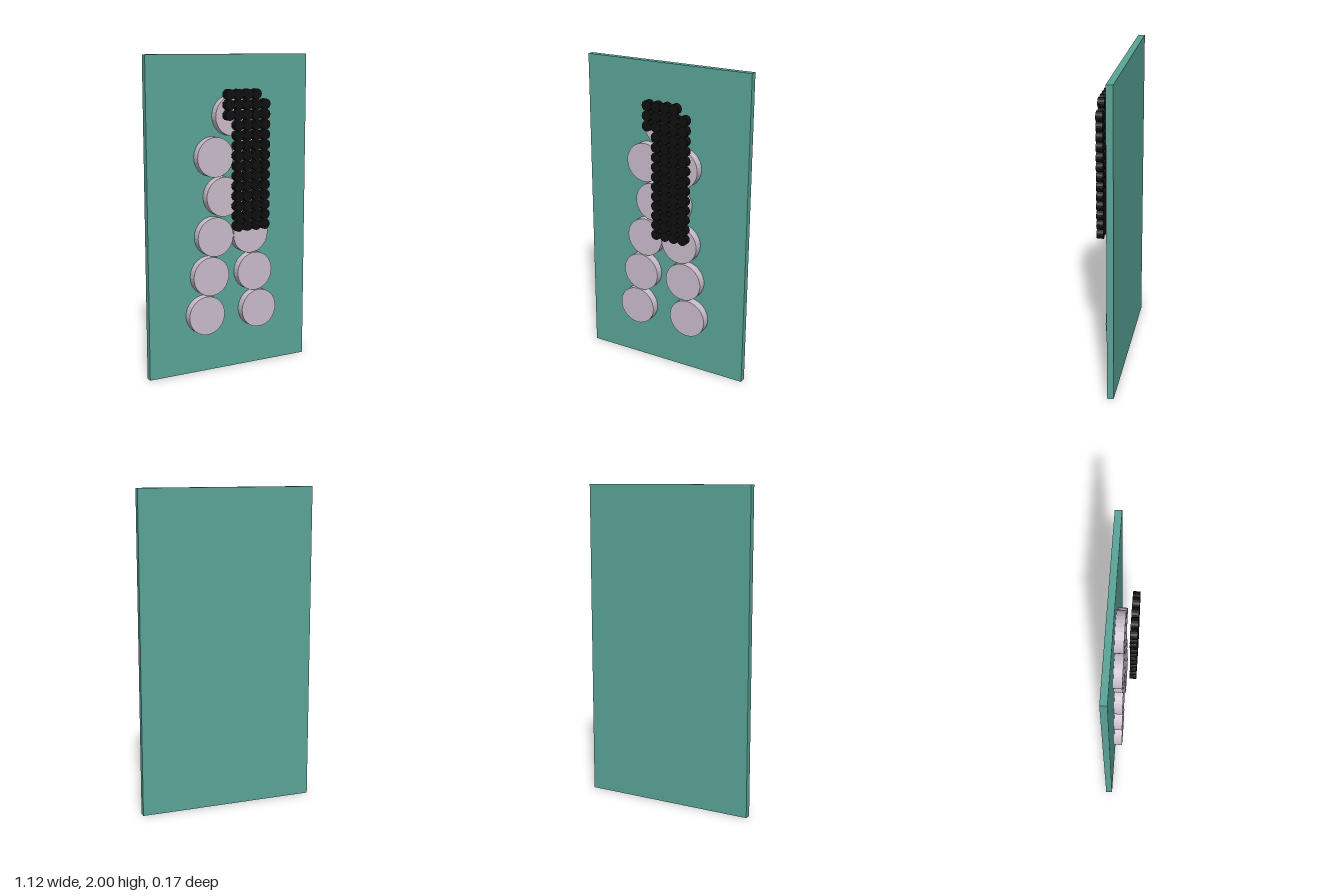
import * as THREE from 'three';

const boardGreen = new THREE.MeshStandardMaterial({ name: 'boardGreen', color: 0x5aa497 });
const paleLilac = new THREE.MeshStandardMaterial({ name: 'paleLilac', color: 0xc9bcca, flatShading: true });
const black = new THREE.MeshStandardMaterial({ name: 'black', color: 0x0e0e0e, flatShading: true });

// Flat round disc facing the front
function discGeometry(radius, depth, sides) {
  return new THREE.CylinderGeometry(radius, radius, depth, sides).rotateX(Math.PI / 2);
}

function addPart(parent, name, geometry, material, x, y, z) {
  const mesh = new THREE.Mesh(geometry, material);
  mesh.name = name;
  mesh.position.set(x, y, z);
  parent.add(mesh);
}

export function createModel() {
  const model = new THREE.Group();
  model.name = 'discBoard';

  // Upright backing board
  addPart(model, 'board', new THREE.BoxGeometry(1.125, 2, 0.041), boardGreen, 0, 1, -0.0635);

  // Large discs: mirrored pairs, rising from the bottom, with a single one on top
  const largeDiscs = new THREE.Group();
  largeDiscs.name = 'largeDiscs';
  const largeDisc = discGeometry(0.124, 0.054, 32);
  [0.1875, 0.156, 0.125, 0.0625, 0.125, 0].forEach((offset, row) => {
    const sides = offset === 0 ? [1] : [-1, 1];
    for (const side of sides) {
      addPart(largeDiscs, 'largeDisc', largeDisc, paleLilac, side * offset, 0.378 + row * 0.2495, -0.016);
    }
  });
  model.add(largeDiscs);

  // Small black discs: columns floating in front, each with its first and last row
  const smallDiscs = new THREE.Group();
  smallDiscs.name = 'smallDiscs';
  const smallDisc = discGeometry(0.0325, 0.042, 16);
  const columns = [[0, 2], [0, 13], [0, 13], [0, 13], [1, 13]];
  columns.forEach(([first, last], column) => {
    for (let row = first; row <= last; row++) {
      addPart(smallDiscs, 'smallDisc', smallDisc, black, -0.0625 + column * 0.0625, 1.76 - row * 0.0627, 0.063);
    }
  });
  model.add(smallDiscs);

  return model;
}
